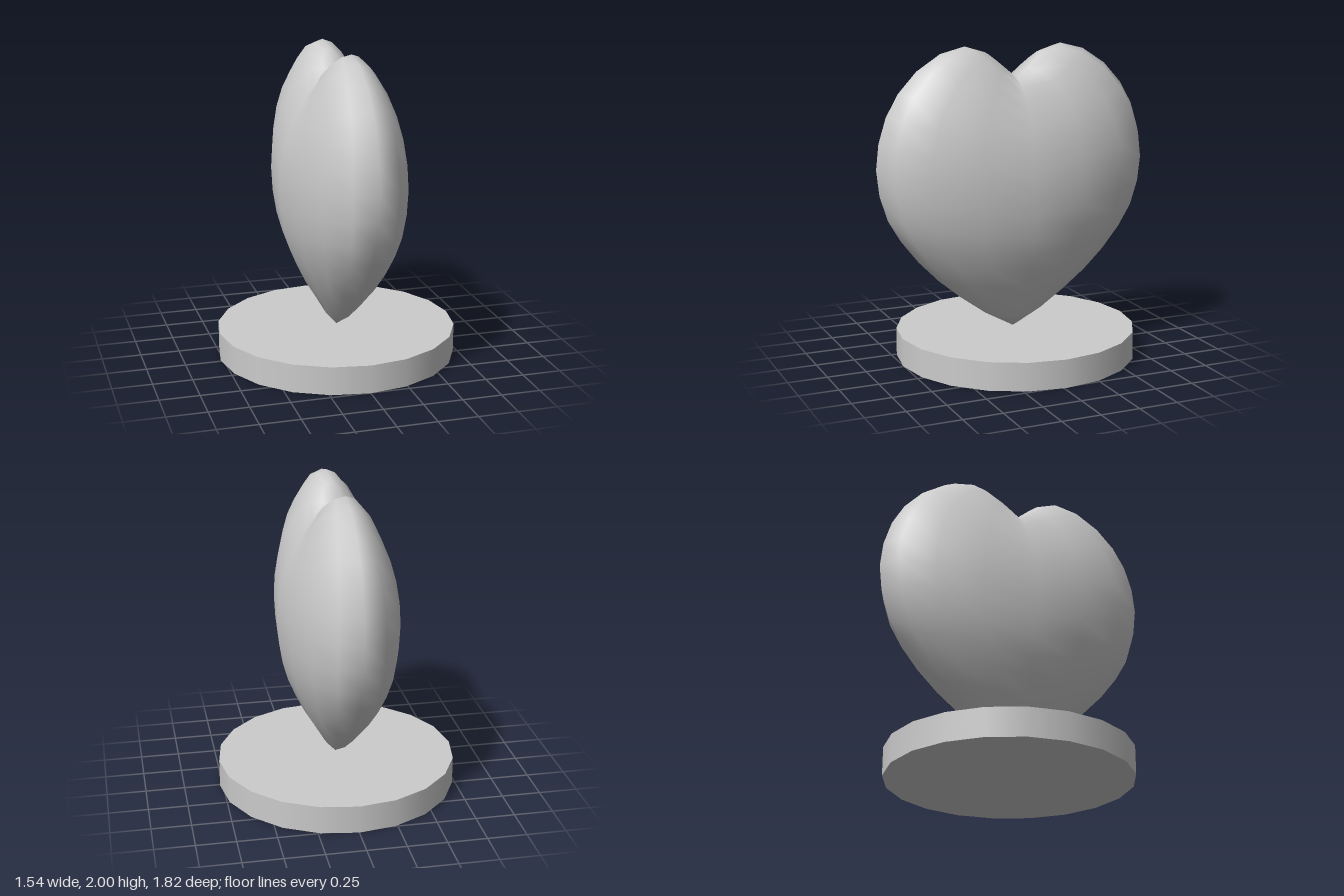
import * as THREE from 'three';
import { mergeVertices } from 'three/addons/utils/BufferGeometryUtils.js';

// Per ring from the notch down to the tip:
// [half width along z, height on the lobe outline, height on the middle line]
const RINGS = [
  [0, 1.81, 1.81], [0.19, 1.96, 1.795], [0.325, 2.0, 1.75], [0.485, 1.96, 1.675],
  [0.64, 1.86, 1.575], [0.76, 1.73, 1.475], [0.84, 1.59, 1.36], [0.89, 1.43, 1.235],
  [0.908, 1.27, 1.11], [0.89, 1.11, 0.965], [0.84, 0.95, 0.83], [0.757, 0.81, 0.71],
  [0.643, 0.665, 0.6], [0.51, 0.53, 0.485], [0.365, 0.41, 0.38], [0.195, 0.287, 0.262],
  [0, 0.18, 0.18],
];
const HALF_DEPTH = 0.37;

// Sphere whose rings are bent up towards the two lobes
function heartGeometry() {
  const segments = 16;
  const rows = RINGS.length - 1;
  let geometry = new THREE.SphereGeometry(1, segments, rows);
  const position = geometry.attributes.position;
  for (let row = 0; row <= rows; row++) {
    const [width, lobeY, middleY] = RINGS[row];
    const depth = HALF_DEPTH * Math.sin((row / rows) * Math.PI);
    for (let s = 0; s <= segments; s++) {
      const angle = ((s % segments) / segments) * Math.PI * 2;
      const side = Math.sin(angle);
      position.setXYZ(
        row * (segments + 1) + s,
        -Math.cos(angle) * depth,
        THREE.MathUtils.lerp(middleY, lobeY, Math.abs(side)),
        side * width,
      );
    }
  }
  // Weld the seam and poles so the shading is smooth all round
  geometry.deleteAttribute('normal');
  geometry.deleteAttribute('uv');
  geometry = mergeVertices(geometry, 1e-4);
  geometry.computeVertexNormals();
  return geometry;
}

export function createModel() {
  const model = new THREE.Group();
  const material = new THREE.MeshStandardMaterial({ color: 0xcccccc });

  const heart = new THREE.Mesh(heartGeometry(), material);
  heart.name = 'heart';
  model.add(heart);

  // Round plinth under the tip
  const base = new THREE.Mesh(new THREE.CylinderGeometry(0.77, 0.77, 0.18, 20), material);
  base.name = 'base';
  base.position.set(0, 0.09, -0.015);
  model.add(base);

  return model;
}
